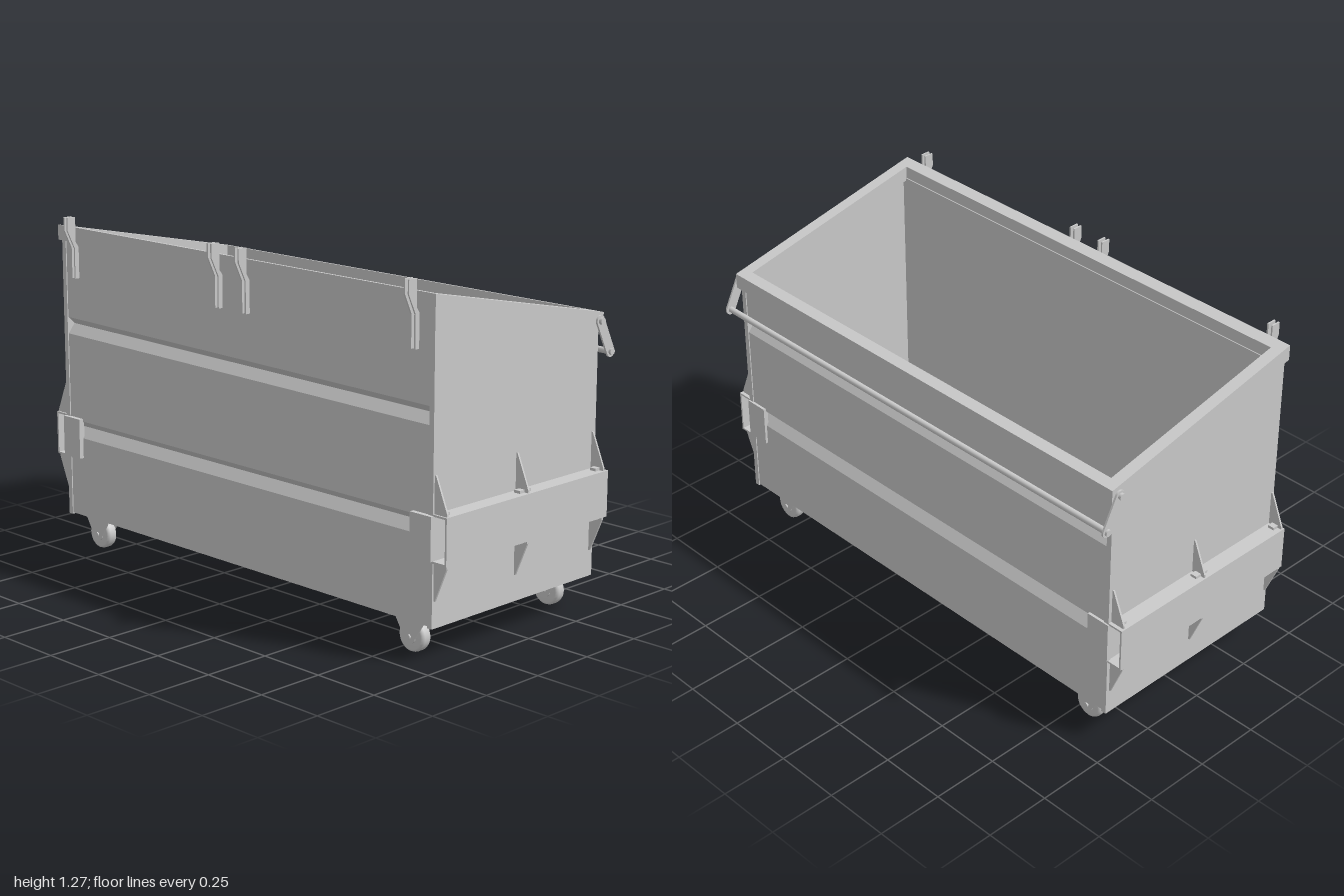
import * as THREE from 'three';

const SLOPE = 0.21; // the top edge falls towards the back

export function createModel() {
  const model = new THREE.Group();
  model.name = 'wasteContainer';
  const mat = new THREE.MeshStandardMaterial({ color: 0xcccccc });

  const add = (name, geo, parent = model) => {
    const m = new THREE.Mesh(geo, mat);
    m.name = name;
    parent.add(m);
    return m;
  };
  const shapeOf = pts => new THREE.Shape(pts.map(p => new THREE.Vector2(p[0], p[1])));
  // Box given by its min and max on each axis
  const box = (name, x0, x1, y0, y1, z0, z1, parent) => {
    const g = new THREE.BoxGeometry(x1 - x0, y1 - y0, z1 - z0);
    g.translate((x0 + x1) / 2, (y0 + y1) / 2, (z0 + z1) / 2);
    return add(name, g, parent);
  };
  // Profile in (z, y), extruded along x and centred on cx
  const alongX = (shape, width, cx) => {
    const g = new THREE.ExtrudeGeometry(shape, { depth: width, bevelEnabled: false, curveSegments: 10 });
    g.translate(0, 0, -width / 2);
    g.rotateY(-Math.PI / 2);
    g.translate(cx, 0, 0);
    return g;
  };
  // Profile in (x, y), extruded along z and centred on cz
  const alongZ = (shape, width, cz) => {
    const g = new THREE.ExtrudeGeometry(shape, { depth: width, bevelEnabled: false, curveSegments: 10 });
    g.translate(0, 0, cz - width / 2);
    return g;
  };
  const rod = (name, r, len, axis, x, y, z, parent, sides = 16) => {
    const g = new THREE.CylinderGeometry(r, r, len, sides);
    if (axis === 'x') g.rotateZ(Math.PI / 2);
    if (axis === 'z') g.rotateX(Math.PI / 2);
    g.translate(x, y, z);
    return add(name, g, parent);
  };
  const rimBottom = z => 1.086 + SLOPE * z;

  // Front and back walls with two V-shaped grooves in the outer face
  const grooved = (name, out, inn, tilt) => {
    const s = Math.sign(out), deep = out - s * 0.028;
    const g = alongX(shapeOf([
      [inn, 0.125], [out, 0.125],
      [out, 0.43], [deep, 0.468], [out, 0.495],
      [out, 0.812], [deep, 0.848], [out, 0.875],
      [out, rimBottom(out) + 0.01], [inn, rimBottom(inn) + 0.01],
    ]), 1.84, 0);
    const p = g.attributes.position;
    for (let i = 0; i < p.count; i++) {
      const y = p.getY(i);
      if (y > 0.7 && y < 0.95) p.setY(i, y - tilt * p.getX(i));
    }
    g.computeVertexNormals();
    add(name, g);
  };
  grooved('frontWall', 0.416, 0.382, 0.012);
  grooved('backWall', -0.398, -0.364, 0);

  // Side walls with a sloping top, and the floor
  for (const s of [-1, 1]) {
    add('sideWall', alongX(shapeOf([
      [0.42, 0.12], [0.42, rimBottom(0.42) + 0.01],
      [-0.402, rimBottom(-0.402) + 0.01], [-0.402, 0.12],
    ]), 0.02, s * 0.93));
  }
  box('floor', -0.925, 0.925, 0.135, 0.15, -0.39, 0.41);

  // Rim: rectangular frame sheared to the slope
  const frame = shapeOf([[-0.95, -0.43], [0.95, -0.43], [0.95, 0.416], [-0.95, 0.416]]);
  frame.holes.push(new THREE.Path([[-0.905, -0.385], [-0.905, 0.375], [0.905, 0.375], [0.905, -0.385]]
    .map(p => new THREE.Vector2(p[0], p[1]))));
  const rim = new THREE.ExtrudeGeometry(frame, { depth: 0.057, bevelEnabled: false });
  rim.rotateX(-Math.PI / 2);
  const rp = rim.attributes.position;
  for (let i = 0; i < rp.count; i++) rp.setY(i, rp.getY(i) + rimBottom(rp.getZ(i)));
  rim.computeVertexNormals();
  add('rim', rim);

  // Lid stops: pairs of thin cranked plates on the front
  const stop = shapeOf([
    [0.467, 1.273], [0.431, 1.273], [0.431, 1.18], [0.418, 1.16],
    [0.418, 1.043], [0.436, 1.043], [0.436, 1.157], [0.467, 1.224],
  ]);
  for (const x of [-0.858, -0.07, 0.068, 0.858])
    for (const d of [-0.009, 0.009]) add('lidStop', alongX(stop, 0.006, x + d));

  // Side lifting sleeves with gussets and mouth plates
  for (const s of [-1, 1]) {
    const side = new THREE.Group();
    side.name = s > 0 ? 'leftSleeve' : 'rightSleeve';
    model.add(side);
    const sbox = (name, x0, x1, ...r) => box(name, Math.min(s * x0, s * x1), Math.max(s * x0, s * x1), ...r, side);
    sbox('sleeveOuterPlate', 0.993, 1.0, 0.345, 0.51, -0.402, 0.42);
    sbox('sleeveTop', 0.938, 0.995, 0.503, 0.51, -0.402, 0.42);
    sbox('sleeveBottom', 0.938, 0.995, 0.345, 0.352, -0.402, 0.42);
    sbox('frontMouthPlate', 0.85, 0.943, 0.353, 0.505, 0.41, 0.433);
    sbox('backMouthPlate', 0.85, 0.943, 0.353, 0.505, -0.408, -0.39);
    for (const z of [0.41, 0.011, -0.385]) {
      const upper = [[0.938, 0.508], [0.995, 0.508], [0.995, 0.52], [0.945, 0.64], [0.938, 0.64]];
      const lower = [[0.938, 0.347], [0.995, 0.347], [0.995, 0.335], [0.945, 0.215], [0.938, 0.215]];
      for (const pts of [upper, lower])
        add('gusset', alongZ(shapeOf(pts.map(([x, y]) => [s * x, y])), 0.007, z), side);
      // Small foot tabs beside each gusset
      const tabs = z > 0.2 ? [-0.014] : z > -0.2 ? [-0.016, 0.016] : [0.014];
      for (const d of tabs) {
        sbox('gussetFoot', 0.955, 0.98, 0.508, 0.52, z + d - 0.012, z + d + 0.012);
        sbox('gussetFoot', 0.955, 0.98, 0.335, 0.347, z + d - 0.012, z + d + 0.012);
      }
    }
  }

  // Swinging lid bar at the back: two rounded arms, pivots and a long rod
  const pivot = [-0.389, 1.03], end = [-0.446, 0.916], r = 0.02;
  const len = Math.hypot(end[0] - pivot[0], end[1] - pivot[1]);
  const arm = new THREE.Shape();
  arm.absarc(0, 0, r, 0, Math.PI, false);
  arm.absarc(0, -len, r, Math.PI, Math.PI * 2, false);
  arm.closePath();
  for (const s of [-1, 1]) {
    const g = alongX(arm, 0.007, 0);
    g.rotateX(Math.atan2(pivot[0] - end[0], pivot[1] - end[1]));
    g.translate(s * 0.958, pivot[1], pivot[0]);
    add('lidBarArm', g);
    rod('armPivot', 0.012, 0.04, 'x', s * 0.952, pivot[1], pivot[0]);
    rod('armEndNut', 0.012, 0.014, 'x', s * 0.963, end[1], end[0]);
  }
  rod('lidBar', 0.011, 1.92, 'x', 0, end[1], end[0]);

  // Casters: wheel with rounded tread between two tapered fork plates
  const fork = new THREE.Shape();
  fork.moveTo(-0.064, 0.115);
  fork.lineTo(-0.024, 0.05);
  fork.absarc(0, 0.056, 0.025, Math.PI + 0.2, Math.PI * 2 - 0.2, false);
  fork.lineTo(0.064, 0.115);
  fork.closePath();
  const tread = [[0.014, -0.022], [0.046, -0.022], [0.053, -0.018], [0.056, -0.01],
    [0.056, 0.01], [0.053, 0.018], [0.046, 0.022], [0.014, 0.022]].map(p => new THREE.Vector2(p[0], p[1]));
  for (const x of [-0.811, 0.811]) for (const z of [0.36, -0.33]) {
    const caster = new THREE.Group();
    caster.name = 'caster';
    caster.position.set(x, 0, z);
    model.add(caster);
    const wheel = new THREE.LatheGeometry(tread, 28);
    wheel.rotateX(Math.PI / 2);
    wheel.translate(0, 0.056, 0);
    add('wheel', wheel, caster);
    rod('axle', 0.015, 0.052, 'z', 0, 0.056, 0, caster);
    rod('axleBolt', 0.009, 0.068, 'z', 0, 0.056, 0, caster, 6);
    for (const d of [-0.026, 0.026]) add('forkPlate', alongZ(fork, 0.005, d), caster);
    box('topPlate', -0.064, 0.064, 0.115, 0.137, -0.0285, 0.0285, caster);
  }
  return model;
}
